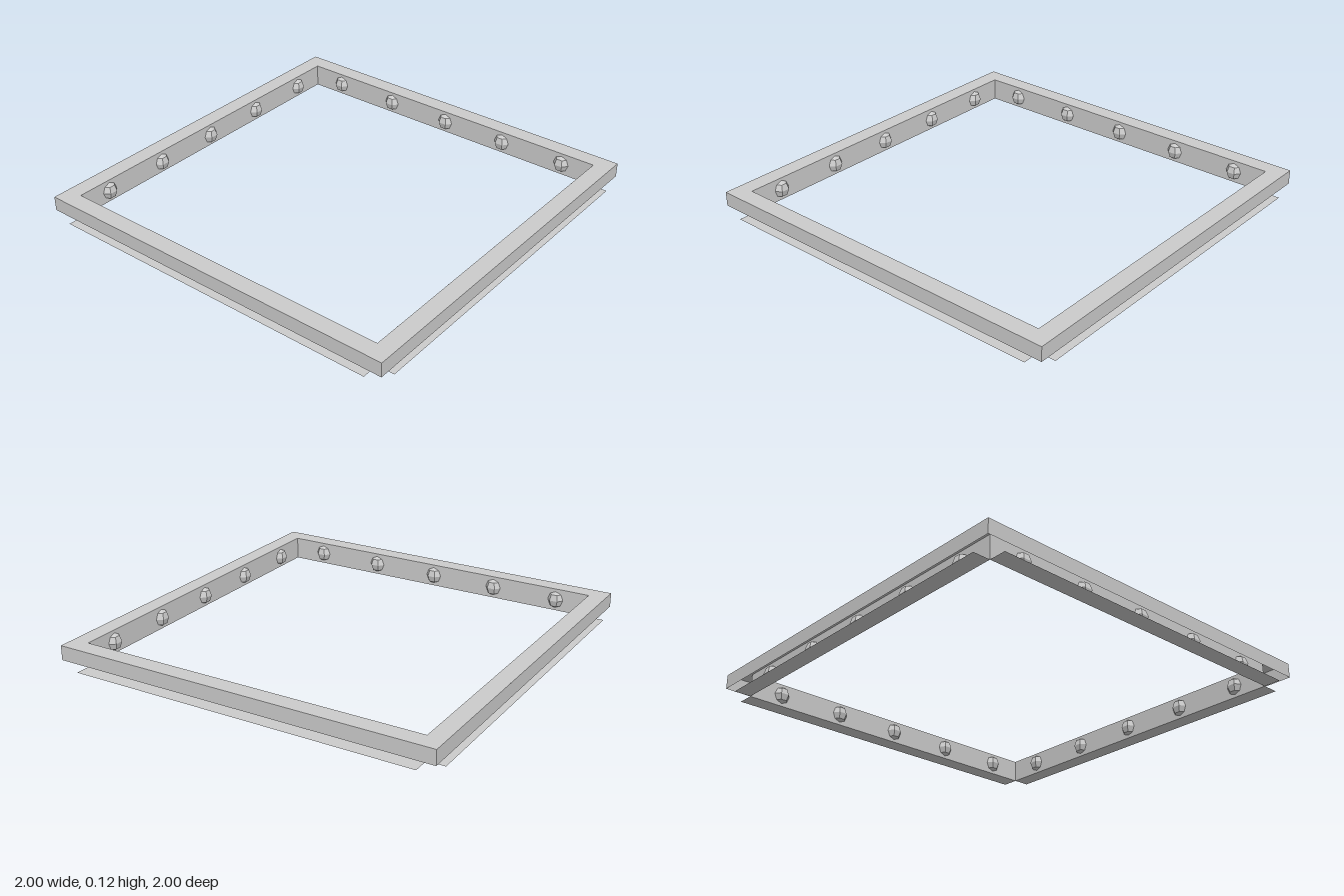
import * as THREE from 'three';

const OUTER = 1, INNER = 0.91, TOP = 0.12, SKIRT = 0.045;

export function createModel() {
  const model = new THREE.Group();
  model.name = 'squareFrame';
  const sheet = new THREE.MeshStandardMaterial({ color: 0xcccccc, side: THREE.DoubleSide });
  const faceted = new THREE.MeshStandardMaterial({ color: 0xcccccc, flatShading: true });

  const add = (parent, name, geometry, material, x, y, z) => {
    const mesh = new THREE.Mesh(geometry, material);
    mesh.name = name;
    mesh.position.set(x, y, z);
    parent.add(mesh);
    return mesh;
  };

  // flat square ring on top
  const square = (r) => [[-r, -r], [r, -r], [r, r], [-r, r]].map(([x, y]) => new THREE.Vector2(x, y));
  const ring = new THREE.Shape(square(OUTER));
  ring.holes.push(new THREE.Path(square(INNER).reverse()));
  add(model, 'topRing', new THREE.ShapeGeometry(ring).rotateX(-Math.PI / 2), sheet, 0, TOP, 0);

  // shared geometry for the four sides
  const outerWall = new THREE.PlaneGeometry(2 * OUTER, TOP - SKIRT);
  const innerWall = new THREE.PlaneGeometry(2 * INNER, TOP).rotateY(Math.PI);
  const flange = new THREE.PlaneGeometry(2 * INNER, OUTER - INNER).rotateX(Math.PI / 2);
  const stud = new THREE.SphereGeometry(1, 6, 4).scale(0.043, 0.045, 0.034);

  ['front', 'left', 'back', 'right'].forEach((side, i) => {
    const rail = new THREE.Group();
    rail.name = side + 'Rail';
    rail.rotation.y = i * Math.PI / 2;
    // open channel: short outer skirt, full inner wall, thin bottom flange
    add(rail, 'outerWall', outerWall, sheet, 0, (TOP + SKIRT) / 2, OUTER);
    add(rail, 'innerWall', innerWall, sheet, 0, TOP / 2, INNER);
    add(rail, 'bottomFlange', flange, sheet, 0, 0, (OUTER + INNER) / 2);
    // faceted studs through the inner wall
    for (const x of [-0.727, -0.364, 0, 0.364, 0.727]) {
      add(rail, 'stud', stud, faceted, x, 0.06, INNER);
    }
    model.add(rail);
  });
  return model;
}
